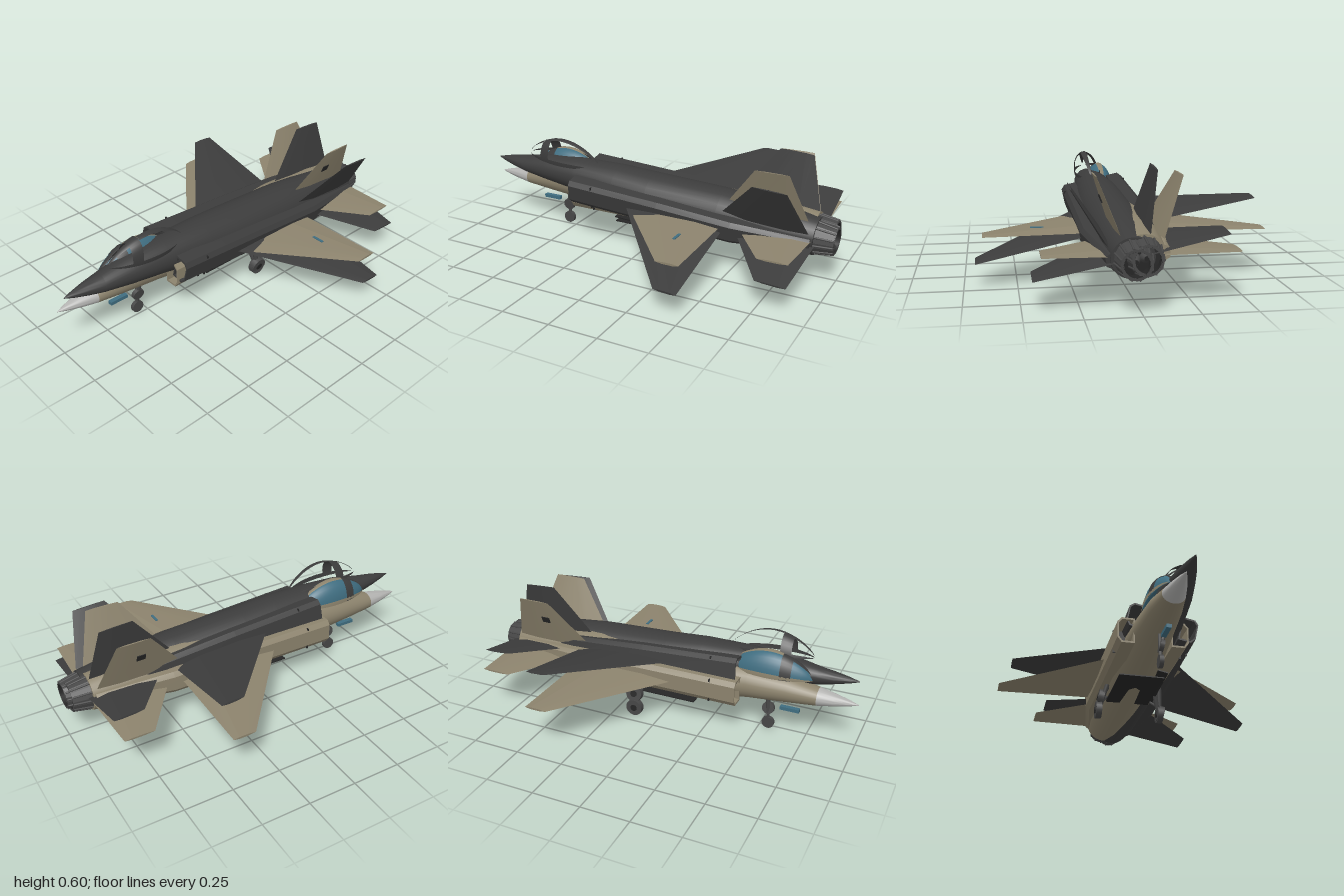
import * as THREE from 'three';
import { toCreasedNormals } from 'three/addons/utils/BufferGeometryUtils.js';

const mat = (name, color, side = THREE.FrontSide) => {
  const m = new THREE.MeshStandardMaterial({ color, side });
  m.name = name;
  return m;
};

// Skin a row of equal closed cross-sections, cap both ends, face outwards
function loft(sections, crease = 0.6) {
  const n = sections[0].length, v = sections.flat().map(p => new THREE.Vector3(...p)), tris = [];
  for (let s = 0; s < sections.length - 1; s++) {
    for (let i = 0; i < n; i++) {
      const j = (i + 1) % n, a = s * n + i, b = s * n + j;
      tris.push([a, b, b + n], [a, b + n, a + n]);
    }
  }
  const e = (sections.length - 1) * n;
  for (let i = 1; i < n - 1; i++) tris.push([0, i + 1, i], [e, e + i, e + i + 1]);
  let volume = 0;
  for (const [a, b, c] of tris) volume += v[a].dot(v[b].clone().cross(v[c]));
  if (volume < 0) tris.forEach(t => t.reverse());
  const g = new THREE.BufferGeometry();
  g.setAttribute('position', new THREE.Float32BufferAttribute(v.flatMap(p => p.toArray()), 3));
  g.setIndex(tris.flat());
  return toCreasedNormals(g, crease);
}

// Oval section from z, half width, top and bottom
function oval([z, w, top, bottom], n = 28) {
  return Array.from({ length: n }, (_, i) => {
    const a = i / n * Math.PI * 2;
    return [w * Math.cos(a), (top + bottom) / 2 + (top - bottom) / 2 * Math.sin(a), z];
  });
}

// Tapering blade: each end is [x, y, leading z, trailing z, thickness]
function blade(root, tip, upright = false) {
  const section = ([x, y, le, te, t]) => {
    const at = (z, d) => upright ? [x + d, y, z] : [x, y + d, z];
    const f = le + (te - le) * 0.3, r = le + (te - le) * 0.75;
    return [at(le, 0), at(f, t / 2), at(r, t / 2), at(te, 0), at(r, -t / 2), at(f, -t / 2)];
  };
  return loft([section(root), section(tip)], 0.1);
}

// Part of the canopy bubble between two z values and two angles
function canopyPatch(z0, z1, a0, a1, lift = 0) {
  const g = new THREE.PlaneGeometry(1, 1, 16, 16), p = g.attributes.position;
  for (let i = 0; i < p.count; i++) {
    const z = z0 + (z1 - z0) * (p.getX(i) + 0.5), a = a0 + (a1 - a0) * (p.getY(i) + 0.5);
    const s = Math.sin(Math.PI * THREE.MathUtils.clamp((0.77 - z) / 0.45, 0, 1));
    const w = 0.072 * Math.pow(Math.max(s, 0), 0.6) + lift;
    const h = 0.118 * Math.pow(Math.max(s, 0), 0.7) + lift;
    p.setXYZ(i, w * Math.cos(a), 0.325 + h * Math.sin(a), z);
  }
  g.computeVertexNormals();
  return g;
}

function rod(a, b, r) {
  const p = new THREE.Vector3(...a), q = new THREE.Vector3(...b);
  const g = new THREE.CylinderGeometry(r, r, p.distanceTo(q), 10);
  g.applyQuaternion(new THREE.Quaternion().setFromUnitVectors(new THREE.Vector3(0, 1, 0), q.clone().sub(p).normalize()));
  const m = p.add(q).multiplyScalar(0.5);
  return g.translate(m.x, m.y, m.z);
}

function buildJet(name, paint, noseMat, frameMat, M, glazed) {
  const jet = new THREE.Group(), body = new THREE.Group();
  jet.name = name;
  body.name = 'airframe';
  body.position.y = -0.24;
  jet.add(body);
  const add = (part, geo, m) => {
    const mesh = new THREE.Mesh(geo, m);
    mesh.name = part;
    body.add(mesh);
    return mesh;
  };

  // Fuselage and nose cone
  add('fuselage', loft([
    [0.8, 0.055, 0.288, 0.198], [0.65, 0.08, 0.325, 0.185], [0.45, 0.097, 0.347, 0.168],
    [0.2, 0.12, 0.36, 0.135], [0, 0.132, 0.358, 0.115], [-0.4, 0.132, 0.365, 0.107],
    [-0.7, 0.118, 0.352, 0.115], [-0.89, 0.097, 0.328, 0.145]].map(s => oval(s))), paint);
  add('noseCone', loft([
    [0.8, 0.055, 0.288, 0.198], [0.88, 0.038, 0.273, 0.211],
    [0.95, 0.019, 0.257, 0.225], [1, 0.002, 0.242, 0.238]].map(s => oval(s))), noseMat);

  // Exhaust nozzle with petals
  const tube = (r0, r1, z0, z1, n = 18) =>
    new THREE.CylinderGeometry(r0, r1, z0 - z1, n, 1, true).rotateX(Math.PI / 2).translate(0, 0.235, (z0 + z1) / 2);
  add('nozzle', toCreasedNormals(tube(0.086, 0.068, -0.87, -0.985), 0.2), M.metal);
  add('nozzleLining', tube(0.07, 0.058, -0.89, -0.985), M.black);
  add('nozzleRim', new THREE.RingGeometry(0.056, 0.069, 18).translate(0, 0.235, -0.984), M.metal);
  add('burner', new THREE.CircleGeometry(0.072, 18).translate(0, 0.235, -0.9), M.black);
  add('burnerHub', tube(0.03, 0.012, -0.9, -0.95), M.metal);
  for (let i = 0; i < 12; i++) {
    const a = i / 12 * Math.PI * 2, c = Math.cos(a), s = Math.sin(a);
    add('nozzlePetalRib', rod([0.085 * c, 0.235 + 0.085 * s, -0.885], [0.068 * c, 0.235 + 0.068 * s, -0.983], 0.005), M.metal);
  }

  for (const s of [1, -1]) {
    // Air intake: open lip, dark throat, shoulder tapering to the tail
    const outline = [[0.09, 0.31], [0.155, 0.31], [0.175, 0.288], [0.175, 0.205], [0.155, 0.178], [0.09, 0.178]];
    const ring = (z, k = 1, inX = 0) => outline.map(([x, y]) => [s * (x * 1 - inX), 0.24 + (y - 0.24) * k, z]);
    const shape = new THREE.Shape(outline.map(([x, y]) => new THREE.Vector2(s * x, y)));
    shape.holes.push(new THREE.Path(outline.map(([x, y]) =>
      new THREE.Vector2(s * (0.134 + (x - 0.134) * 0.84), 0.244 + (y - 0.244) * 0.86))));
    add('intakeLip', new THREE.ExtrudeGeometry(shape, { depth: 0.14, bevelEnabled: false }).translate(0, 0, 0.28), paint);
    add('intakeThroat', new THREE.BoxGeometry(0.078, 0.122, 0.006).translate(s * 0.133, 0.244, 0.284), M.black);
    add('shoulder', loft([ring(0.28), ring(-0.1), ring(-0.5, 0.9), ring(-0.88, 0.5, 0.06)], 0.3), paint);

    // Wings, tailplanes and canted fins
    add('wing', blade([s * 0.1, 0.245, 0.13, -0.455, 0.03], [s * 0.68, 0.24, -0.35, -0.465, 0.01]), paint);
    add('tailplane', blade([s * 0.08, 0.235, -0.48, -0.9, 0.022], [s * 0.435, 0.235, -0.735, -0.885, 0.008]), paint);
    add('fin', blade([s * 0.092, 0.3, -0.42, -0.87, 0.022], [s * 0.19, 0.56, -0.62, -0.79, 0.008], true), paint);

    // Main landing gear
    add('mainStrut', rod([s * 0.125, 0.18, -0.1], [s * 0.158, 0.06, -0.13], 0.012), M.metal);
    add('mainBrace', rod([s * 0.11, 0.15, -0.2], [s * 0.15, 0.09, -0.13], 0.007), M.metal);
    add('mainWheel', new THREE.CylinderGeometry(0.044, 0.044, 0.03, 20).rotateZ(Math.PI / 2).translate(s * 0.165, 0.044, -0.135), M.metal);
    add('mainHub', new THREE.CylinderGeometry(0.018, 0.018, 0.036, 12).rotateZ(Math.PI / 2).translate(s * 0.165, 0.044, -0.135), M.black);
    // Canopy side rail
    add('canopyRail', canopyPatch(0.765, 0.325, s > 0 ? 0 : Math.PI, s > 0 ? 0.2 : Math.PI - 0.2, 0.003), frameMat);
  }

  // Nose gear and belly panel
  add('noseStrut', rod([0, 0.19, 0.54], [0, 0.04, 0.55], 0.009), M.metal);
  add('noseWheel', new THREE.CylinderGeometry(0.032, 0.032, 0.02, 18).rotateZ(Math.PI / 2).translate(0, 0.033, 0.55), M.metal);
  add('bellyPanel', new THREE.BoxGeometry(0.23, 0.006, 0.37).translate(0, 0.121, -0.005), M.black);

  // Canopy bow, spine and glass
  add('canopyBow', canopyPatch(0.665, 0.61, 0, Math.PI, 0.003), M.dark);
  add('canopySpine', canopyPatch(0.61, 0.325, 1.36, 1.78, 0.004), frameMat);
  add('windscreenPost', canopyPatch(0.765, 0.665, 1.3, 1.84, 0.004), M.dark);
  if (glazed) add('canopyGlass', canopyPatch(0.77, 0.32, 0, Math.PI), M.glass);
  return { jet, add };
}

export function createModel() {
  const D = THREE.DoubleSide;
  const M = {
    tan: mat('tan paint', 0x8c836d, D), dark: mat('charcoal paint', 0x3c3c3c, D),
    black: mat('black', 0x262626, D), metal: mat('gunmetal', 0x474747, D),
    glass: mat('blue glass', 0x3f6d80, D), white: mat('pale grey nose', 0xb4b4b2),
  };
  const model = new THREE.Group();
  model.name = 'jetPair';

  // Level tan jet with its markings
  const a = buildJet('tanJet', M.tan, M.white, M.tan, M, true);
  a.jet.position.set(-0.02, 0.24, 0);
  a.add('sensorPod', new THREE.BoxGeometry(0.024, 0.018, 0.1).translate(0, 0.136, 0.66), M.glass);
  a.add('wingMark', new THREE.BoxGeometry(0.065, 0.004, 0.014).translate(0.42, 0.254, -0.33), M.glass);
  for (const s of [1, -1]) {
    const mark = a.add('finMark', new THREE.BoxGeometry(0.004, 0.035, 0.045), M.black);
    mark.position.set(s * 0.156, 0.445, -0.66);
    mark.rotation.z = -s * 0.36;
  }

  // Charcoal jet, banked and slightly nose up, with a bare canopy frame
  const b = buildJet('charcoalJet', M.dark, M.dark, M.dark, M, false);
  b.jet.position.set(0.03, 0.283, -0.015);
  b.jet.rotation.set(-0.058, 0, -0.21);
  model.add(a.jet, b.jet);
  return model;
}
